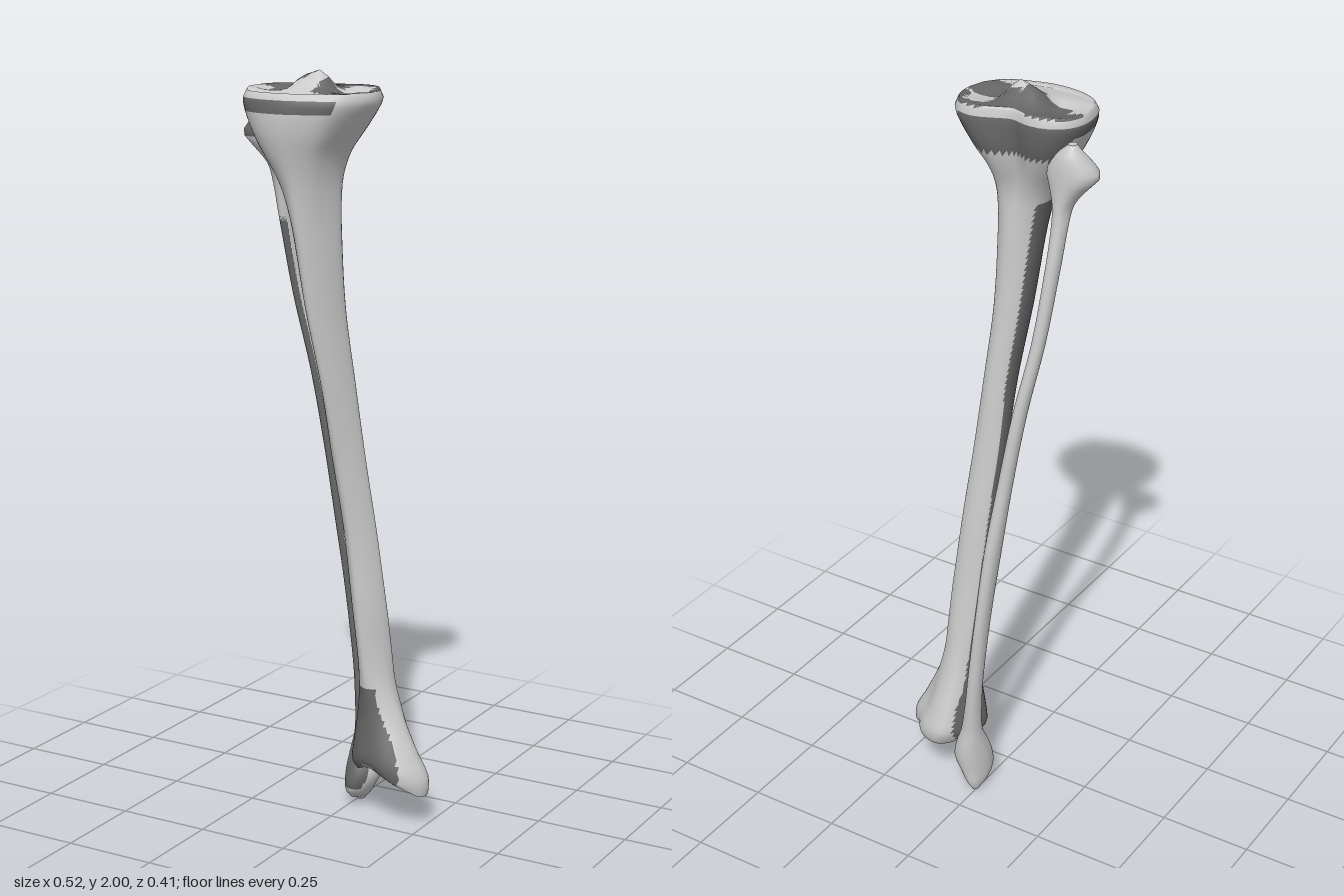
import * as THREE from 'three';

const SIDES = 56;
const LIGHT = new THREE.MeshStandardMaterial({ color: 0xf8f8f8 });
const DARK = new THREE.MeshStandardMaterial({ color: 0x666666 });
const step = THREE.MathUtils.smoothstep;
const gauss = (x, z, cx, cz, s) => Math.exp(-((x - cx) ** 2 + (z - cz) ** 2) / (2 * s * s));
const mix = (A, B, t) => A.map((p, i) => [p[0] + (B[i][0] - p[0]) * t, p[1] + (B[i][1] - p[1]) * t]);

// Turn a few outline points (x, z) into SIDES points by angle, scaled to a -1..1 box
function outline(points) {
  const curve = new THREE.CatmullRomCurve3(points.map(([x, z]) => new THREE.Vector3(x, 0, z)), true);
  const dense = curve.getPoints(900);
  const box = new THREE.Box3().setFromPoints(dense);
  const c = box.getCenter(new THREE.Vector3());
  const h = box.getSize(new THREE.Vector3()).multiplyScalar(0.5);
  const unit = dense.map(p => [(p.x - c.x) / h.x, (p.z - c.z) / h.z]);
  return Array.from({ length: SIDES }, (_, i) => {
    const a = (i / SIDES) * Math.PI * 2, dx = Math.cos(a), dz = Math.sin(a);
    let best = unit[0], bestDot = -2;
    for (const p of unit) {
      const d = (p[0] * dx + p[1] * dz) / Math.hypot(p[0], p[1]);
      if (d > bestDot) { bestDot = d; best = p; }
    }
    return best;
  });
}

// Smooth interpolation of table rows [y, x0, x1, z0, z1] at height y
function sample(rows, y) {
  let k = 0;
  while (k < rows.length - 2 && y > rows[k + 1][0]) k++;
  const a = rows[k], b = rows[k + 1], p = rows[Math.max(k - 1, 0)], n = rows[Math.min(k + 2, rows.length - 1)];
  const d = b[0] - a[0], t = (y - a[0]) / d, t2 = t * t, t3 = t2 * t;
  return [1, 2, 3, 4].map(j => {
    const m0 = (b[j] - p[j]) / (b[0] - p[0]) * d, m1 = (n[j] - a[j]) / (n[0] - a[0]) * d;
    return a[j] * (2 * t3 - 3 * t2 + 1) + m0 * (t3 - 2 * t2 + t) + b[j] * (3 * t2 - 2 * t3) + m1 * (t3 - t2);
  });
}

// Loft a closed bone; end faces follow bottom(x, z) and top(x, z), warp adjusts heights,
// and isDark(position, normal) picks the faces of the darker areas
function bone(name, { rows, shapeAt, bottom, top, warp, isDark }) {
  const rings = [], steps = 110;
  const yMin = rows[0][0], yMax = rows[rows.length - 1][0];
  const ring = (y, s, rule) => {
    const [x0, x1, z0, z1] = sample(rows, y);
    rings.push(shapeAt(y).map(([u, v]) => {
      const x = (x0 + x1) / 2 + u * s * (x1 - x0) / 2, z = (z0 + z1) / 2 + v * s * (z1 - z0) / 2;
      return [x, warp(x, rule(x, z), z), z];
    }));
  };
  const scales = [0, 0.12, 0.25, 0.38, 0.5, 0.62, 0.74, 0.85, 0.93, 0.98];
  scales.forEach(s => ring(yMin, s, bottom));
  for (let i = 0; i <= steps; i++) {
    const y = yMin + (yMax - yMin) * i / steps;
    ring(y, 1, () => y);
  }
  [...scales].reverse().forEach(s => ring(yMax, s, top));

  const faces = [];
  for (let j = 0; j < rings.length - 1; j++) {
    for (let i = 0; i < SIDES; i++) {
      const a = j * SIDES + i, b = j * SIDES + (i + 1) % SIDES, c = a + SIDES, d = b + SIDES;
      if (j > 0) faces.push([a, c, b]);
      if (j < rings.length - 2) faces.push([b, c, d]);
    }
  }
  const whole = new THREE.BufferGeometry();
  whole.setAttribute('position', new THREE.Float32BufferAttribute(rings.flat(2), 3));
  whole.setIndex(faces.flat());
  whole.computeVertexNormals();

  // Split into light and dark areas that share the same smooth normals
  const mean = (attr, f) => f.reduce((v, i) =>
    v.add(new THREE.Vector3().fromBufferAttribute(whole.attributes[attr], i)), new THREE.Vector3()).divideScalar(3);
  const dark = faces.map(f => isDark(mean('position', f), mean('normal', f)));
  const group = new THREE.Group();
  group.name = name;
  for (const [label, material, flag] of [['LightArea', LIGHT, false], ['DarkArea', DARK, true]]) {
    const geo = new THREE.BufferGeometry();
    geo.setAttribute('position', whole.attributes.position);
    geo.setAttribute('normal', whole.attributes.normal);
    geo.setIndex(faces.filter((_, i) => dark[i] === flag).flat());
    const mesh = new THREE.Mesh(geo, material);
    mesh.name = name + label;
    group.add(mesh);
  }
  return group;
}

export function createModel() {
  const group = new THREE.Group();
  group.name = 'lowerLegBones';

  // Cross-section outlines: kidney-shaped plateau, three-edged shaft, skewed ankle end
  const plateau = outline([[-0.19, 0.04], [-0.165, -0.015], [-0.12, -0.04], [-0.075, -0.042], [-0.025, -0.028],
    [0.02, -0.045], [0.07, -0.06], [0.12, -0.045], [0.15, 0], [0.16, 0.06], [0.145, 0.115], [0.11, 0.165],
    [0.05, 0.19], [-0.03, 0.205], [-0.12, 0.185], [-0.172, 0.14]]);
  const shaft = outline([[-0.15, 1], [0.35, 0.7], [0.85, 0], [0.95, -0.5], [0.45, -0.95], [-0.2, -1],
    [-0.85, -0.65], [-0.95, -0.1], [-0.6, 0.65]]);
  const ankle = outline([[0.03, -0.07], [0.06, -0.14], [0.1, -0.185], [0.13, -0.19], [0.18, -0.17], [0.22, -0.125],
    [0.255, -0.09], [0.26, -0.065], [0.225, -0.015], [0.17, 0.005], [0.11, -0.005], [0.06, -0.03]]);
  const round = outline([[1, 0], [0.65, 0.7], [0, 1], [-0.75, 0.7], [-1, 0], [-0.65, -0.75], [0, -1], [0.75, -0.65]]);

  group.add(bone('shinBone', {
    rows: [
      [0.125, 0.045, 0.257, -0.182, 0.002], [0.15, 0.03, 0.252, -0.188, 0.008], [0.2, 0.035, 0.222, -0.174, 0.002],
      [0.3, 0.045, 0.178, -0.142, -0.018], [0.4, 0.05, 0.147, -0.12, -0.018], [0.6, 0.037, 0.13, -0.093, -0.003],
      [0.8, 0.022, 0.11, -0.072, 0.01], [1, 0.003, 0.09, -0.048, 0.04], [1.2, -0.01, 0.072, -0.03, 0.08],
      [1.4, -0.035, 0.057, -0.01, 0.12], [1.6, -0.06, 0.055, 0.002, 0.15], [1.7, -0.08, 0.057, 0, 0.166],
      [1.75, -0.1, 0.062, -0.01, 0.178], [1.8, -0.13, 0.077, -0.03, 0.192], [1.85, -0.16, 0.11, -0.05, 0.203],
      [1.9, -0.184, 0.145, -0.058, 0.206], [1.93, -0.192, 0.16, -0.058, 0.201], [1.947, -0.186, 0.153, -0.052, 0.19],
    ],
    shapeAt: y => y < 1 ? mix(ankle, shaft, step(y, 0.18, 0.5)) : mix(shaft, plateau, step(y, 1.58, 1.84)),
    // Ankle face: hollow in the middle, lower at the inner knob
    bottom: (x, z) => 0.115 + 0.045 * gauss(x, z, 0.13, -0.06, 0.04) - 0.02 * gauss(x, z, 0.235, -0.06, 0.03),
    // Knee face: two shallow dishes with a pair of central spines
    top: (x, z) => 1.957 - 0.02 * gauss(x, z, -0.1, 0.06, 0.045) - 0.02 * gauss(x, z, 0.09, 0.06, 0.045)
      + 0.033 * gauss(x, z, -0.045, 0.055, 0.026) + 0.04 * gauss(x, z, 0.008, 0.06, 0.022)
      - 0.02 * step(z, 0.1, 0.19),
    // Lifted front lip and lowered inner knob of the ankle end
    warp: (x, y, z) => y + (1 - step(y, 0.1, 0.24))
      * (0.035 * gauss(x, z, 0.11, 0, 0.045) - 0.012 * gauss(x, z, 0.25, -0.06, 0.03)),
    // Dark: front of the ankle end, outer side of the shaft, knee rim and back half of the knee face
    isDark: (p, n) => {
      if (p.y < 0.37) return n.y > -0.6 && ((n.z > 0.35 && p.x < 0.2 - 0.08 * step(p.y, 0.15, 0.37)) || n.x < -0.75);
      if (p.y < 1.7) return n.x < -0.75;
      if (p.y < 1.9) return n.z < -0.3 && p.y > 1.84;
      if (n.y < 0.5) return n.x < 0.6 && p.y < 1.935;
      return (p.z < 0.04 && !(p.x > 0.05 && p.x < 0.12 && p.z > -0.02)) || (p.x > 0.02 && p.z > 0.05 && p.z < 0.14)
        || (p.x > -0.14 && p.x < -0.02 && p.z < 0.075);
    },
  }));

  group.add(bone('calfBone', {
    rows: [
      [0.003, -0.004, 0.016, -0.172, -0.145], [0.02, -0.014, 0.034, -0.182, -0.105], [0.05, -0.019, 0.056, -0.187, -0.077],
      [0.1, -0.02, 0.075, -0.196, -0.08], [0.15, -0.017, 0.062, -0.197, -0.105], [0.2, -0.014, 0.042, -0.194, -0.135],
      [0.3, -0.02, 0.022, -0.199, -0.147], [0.4, -0.03, 0.008, -0.203, -0.152], [0.6, -0.052, -0.017, -0.204, -0.146],
      [0.8, -0.077, -0.038, -0.192, -0.132], [1, -0.102, -0.066, -0.168, -0.12], [1.2, -0.132, -0.098, -0.15, -0.103],
      [1.4, -0.168, -0.135, -0.12, -0.077], [1.6, -0.19, -0.155, -0.092, -0.045], [1.7, -0.198, -0.158, -0.075, -0.027],
      [1.75, -0.204, -0.154, -0.07, -0.005], [1.79, -0.232, -0.138, -0.068, 0.022], [1.825, -0.262, -0.125, -0.068, 0.034],
      [1.855, -0.248, -0.14, -0.066, 0.022], [1.885, -0.227, -0.165, -0.06, -0.005], [1.905, -0.212, -0.188, -0.045, -0.02],
    ],
    shapeAt: y => mix(round, shaft, 0.5 * step(y, 0.2, 0.4) * (1 - step(y, 1.5, 1.75))),
    bottom: () => 0,
    top: () => 1.908,
    warp: (x, y) => y,
    // Dark: front of the shaft and of the knobs at both ends
    isDark: (p, n) => n.z > 0.6 && ((p.y > 0.06 && p.y < 1.6) || (p.y > 1.82 && p.y < 1.86)),
  }));

  return group;
}
